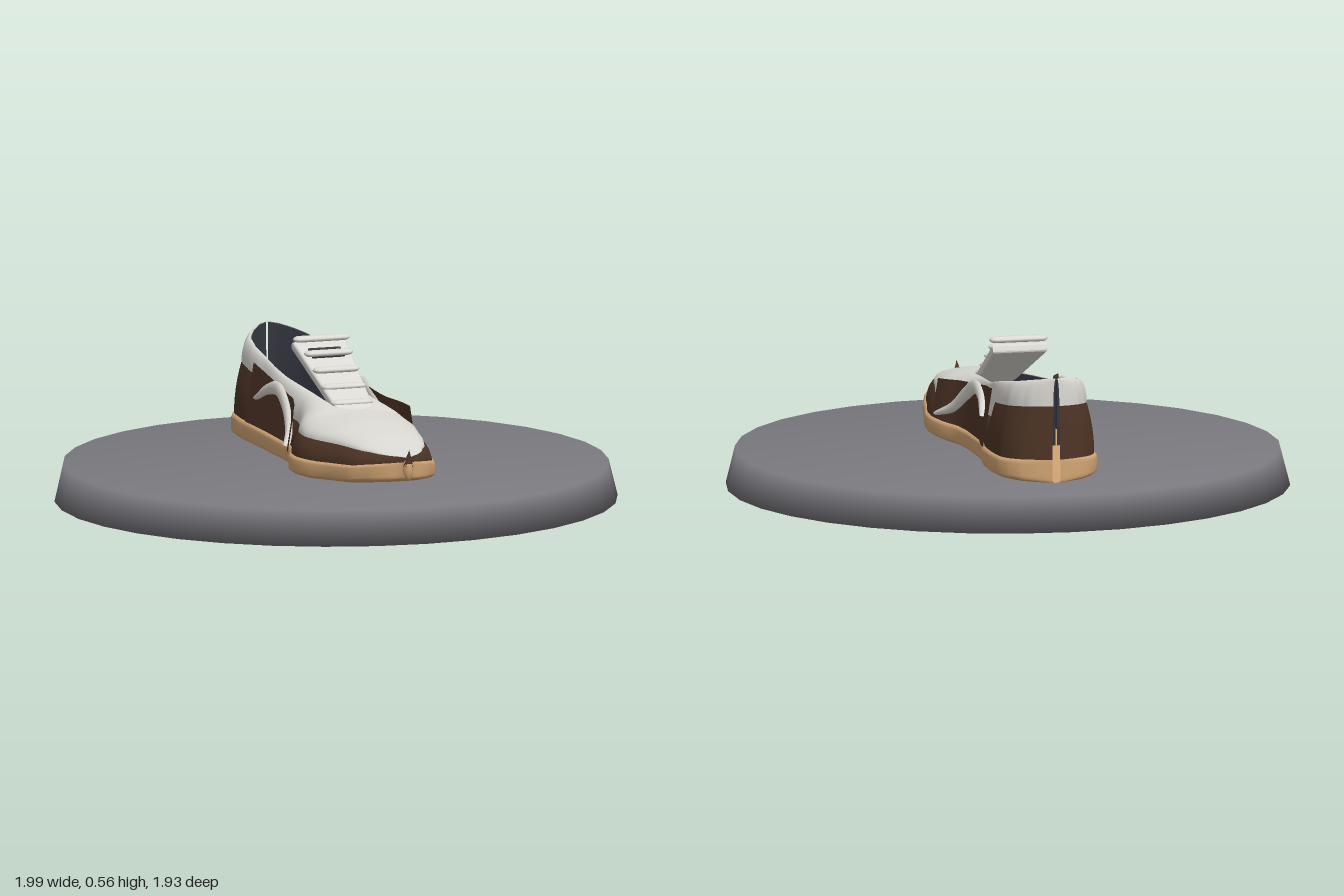
import * as THREE from 'three';
import { ParametricGeometry } from 'three/addons/geometries/ParametricGeometry.js';
import { mergeVertices } from 'three/addons/utils/BufferGeometryUtils.js';

const mat = (name, color) => new THREE.MeshStandardMaterial({ name, color, side: THREE.DoubleSide });

// Interpolate a short table of [z, value] pairs
const table = (...pts) => (z) => {
  if (z <= pts[0][0]) return pts[0][1];
  for (let i = 1; i < pts.length; i++) {
    const [a, va] = pts[i - 1], [b, vb] = pts[i];
    if (z <= b) return va + (vb - va) * (z - a) / (b - a);
  }
  return pts[pts.length - 1][1];
};
const lerp = THREE.MathUtils.lerp;

// Outline half-widths on each side, and heights along the shoe
const leftWidth = table([-0.73, 0.015], [-0.715, 0.07], [-0.69, 0.125], [-0.65, 0.16], [-0.6, 0.182], [-0.5, 0.19],
  [-0.38, 0.187], [-0.28, 0.168], [-0.05, 0.168], [0.06, 0.18], [0.14, 0.212], [0.24, 0.232], [0.32, 0.228],
  [0.42, 0.205], [0.5, 0.19], [0.6, 0.16], [0.68, 0.11], [0.72, 0.07], [0.745, 0.03], [0.77, 0.008]);
const rightWidth = table([-0.73, 0.015], [-0.715, 0.07], [-0.69, 0.125], [-0.65, 0.16], [-0.6, 0.182], [-0.5, 0.19],
  [-0.3, 0.187], [0.02, 0.188], [0.1, 0.21], [0.18, 0.245], [0.27, 0.256], [0.35, 0.242],
  [0.45, 0.205], [0.52, 0.185], [0.6, 0.16], [0.68, 0.11], [0.72, 0.07], [0.745, 0.03], [0.77, 0.008]);
const width = (s, z) => (s > 0 ? leftWidth(z) : rightWidth(z));
const soleBottom = table([-0.73, 0.135], [-0.5, 0.13], [0.1, 0.13], [0.35, 0.138], [0.55, 0.155], [0.7, 0.18], [0.77, 0.2]);
const soleTop = table([-0.73, 0.225], [0, 0.212], [0.4, 0.222], [0.6, 0.235], [0.77, 0.265]);
const bandTop = table([-0.73, 0.41], [-0.42, 0.375], [-0.38, 0.3], [0.2, 0.28], [0.5, 0.282], [0.77, 0.275]);
const upperTop = table([-0.73, 0.51], [-0.6, 0.482], [-0.42, 0.45], [-0.2, 0.405], [0, 0.385], [0.2, 0.362],
  [0.4, 0.347], [0.55, 0.322], [0.68, 0.293], [0.77, 0.277]);
const throat = table([-0.73, 0.002], [-0.71, 0.035], [-0.66, 0.075], [-0.6, 0.108], [-0.5, 0.122], [-0.3, 0.12],
  [-0.15, 0.105], [0.1, 0.08], [0.215, 0.066], [0.235, 0]);
const bandX = (s, z) => Math.max(width(s, z) - 0.04, width(s, z) * 0.72);
const panelTop = table([-0.42, 0.425], [0, 0.373], [0.2, 0.352]);
const panelX = (s, z, y) => width(s, z) + lerp(0.004, -0.026, (y - 0.215) / 0.19);

// Surface from a rule (u, v) -> [x, y, z]
function sheet(rule, nu, nv) {
  const g = new ParametricGeometry((u, v, p) => p.set(...rule(u, v)), nu, nv);
  g.computeVertexNormals();
  return g;
}
// Length parameter, denser at the heel and toe
const along = (u, a, b) => lerp(a, b, (1 - Math.cos(Math.PI * u)) / 2);

export function createModel() {
  const white = mat('off white', 0xdbd9d3), tan = mat('tan gum', 0xd2a574), brown = mat('dark brown', 0x4f3526);
  const navy = mat('dark lining', 0x363842), grey = mat('stand grey', 0x7b7a80);
  const model = new THREE.Group();
  const add = (name, geometry, material, parent = model) => {
    const m = new THREE.Mesh(geometry, material);
    m.name = name;
    parent.add(m);
    return m;
  };

  // Display stand with softly shaded edge
  let disc = new THREE.CylinderGeometry(0.965, 0.965, 0.13, 34);
  const p = disc.attributes.position;
  for (let i = 0; i < p.count; i++) if (p.getY(i) < 0) p.setX(i, p.getX(i) * 1.036);
  disc.deleteAttribute('normal');
  disc.deleteAttribute('uv');
  disc = mergeVertices(disc);
  disc.computeVertexNormals();
  add('stand', disc, grey).position.y = 0.065;

  // Sole: rounded section swept along the foot, then its inner floor
  add('sole', sheet((u, v) => {
    const z = along(u, -0.73, 0.775), a = lerp(-Math.PI / 2, 1.5 * Math.PI, v);
    const c = Math.cos(a), n = Math.sin(a), w = width(c >= 0 ? 1 : -1, z);
    const sq = (t) => Math.sign(t) * Math.pow(Math.abs(t), 0.4);
    const lo = soleBottom(z), hi = soleTop(z);
    return [sq(c) * w, lerp(lo, hi, (sq(n) + 1) / 2), z];
  }, 70, 40), tan);
  add('insole', sheet((u, v) => {
    const z = along(u, -0.728, 0.23);
    return [lerp(-1, 1, v) * throat(z) * 0.62, 0.27, z];
  }, 30, 4), tan);
  const nub = add('toeNub', new THREE.SphereGeometry(1, 12, 10), tan);
  nub.scale.set(0.018, 0.045, 0.022);
  nub.position.set(0, 0.235, 0.758);
  const tip = add('toeTip', new THREE.ConeGeometry(0.018, 0.06, 10), brown);
  tip.position.set(0, 0.275, 0.768);
  tip.rotation.x = 0.25;

  for (const s of [1, -1]) {
    const side = s > 0 ? 'left' : 'right';
    // Lower band around the foot
    add(side + 'LowerBand', sheet((u, v) => {
      const z = along(u, -0.73, 0.77);
      const x = lerp(Math.max(width(s, z) - 0.012, width(s, z) * 0.9), bandX(s, z), v * v);
      return [s * x, lerp(soleTop(z) - 0.01, bandTop(z), v), z];
    }, 70, 6), brown);
    // Upper, curving in to the collar and closing over the toes
    add(side + 'Upper', sheet((u, v) => {
      const z = along(u, -0.73, 0.765), a = v * Math.PI / 2, t = Math.min(throat(z), bandX(s, z));
      return [s * (t + (bandX(s, z) - t) * Math.cos(a)), lerp(bandTop(z), upperTop(z), Math.sin(a)), z];
    }, 90, 12), white);
    // Lining from the collar down to the insole
    add(side + 'Lining', sheet((u, v) => {
      const z = along(u, -0.729, 0.23);
      return [s * throat(z) * lerp(0.985, 0.6, v), lerp(upperTop(z) - 0.002, 0.268, v), z];
    }, 40, 5), navy);
    // Side panel
    add(side + 'Panel', sheet((u, v) => {
      const z = lerp(-0.42, 0.2, u), y = lerp(0.215, panelTop(z), v);
      return [s * panelX(s, z, y), y, z];
    }, 24, 6), brown);
    // Raised arched trim on the panel
    const path = new THREE.CatmullRomCurve3([[0.235, 0.155], [0.27, 0.07], [0.335, -0.03], [0.378, -0.13],
      [0.362, -0.23], [0.315, -0.33]].map(([y, z]) => new THREE.Vector3(s * (panelX(s, z, y) + 0.004), y, z)));
    add(side + 'ArchTrim', sheet((u, v) => {
      const c = path.getPoint(u), d = path.getTangent(u), a = v * Math.PI * 2;
      const h = (0.008 + 0.019 * Math.sin(Math.PI * u)) * Math.cos(a), k = Math.hypot(d.y, d.z);
      return [c.x + 0.014 * Math.sin(a), c.y - d.z / k * h, c.z + d.y / k * h];
    }, 30, 12), white);
  }

  // Tongue: tapered pad rising over the throat
  const tongue = new THREE.Group();
  tongue.name = 'tongue';
  tongue.position.set(0, 0.335, 0.2);
  tongue.rotation.x = -1.138;
  model.add(tongue);
  const pad = new THREE.Shape([[-0.06, 0], [0.06, 0], [0.09, 0.42], [-0.09, 0.42]].map((q) => new THREE.Vector2(...q)));
  add('tonguePad', new THREE.ExtrudeGeometry(pad, {
    depth: 0.015, bevelThickness: 0.01, bevelSize: 0.01, bevelSegments: 3,
  }), white, tongue);
  add('tonguePatch', new THREE.BoxGeometry(0.12, 0.055, 0.006), navy, tongue).position.set(0, 0.345, 0.028);

  // Laces across the tongue
  const laces = [[-0.155, 0.548, 0.105], [-0.08, 0.508, 0.09], [0, 0.462, 0.086], [0.08, 0.415, 0.083], [0.165, 0.372, 0.078]];
  laces.forEach(([z, y, half], i) => {
    const bar = add('lace' + (i + 1), new THREE.CapsuleGeometry(0.023, 2 * half - 0.046, 5, 14), white);
    bar.rotation.z = Math.PI / 2;
    bar.scale.x = 0.5;
    bar.position.set(0, y, z);
  });
  return model;
}
